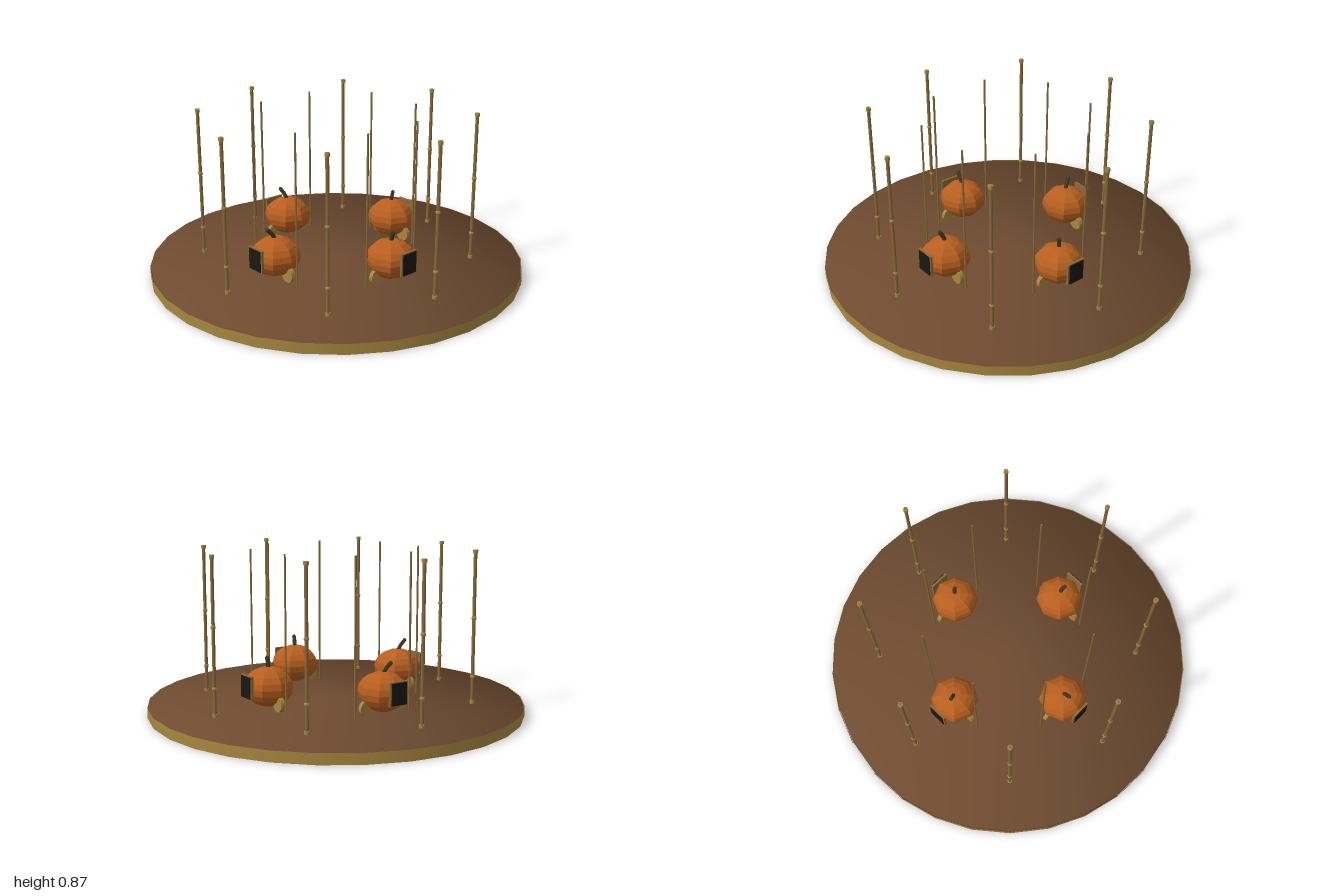
import * as THREE from 'three';

const paint = (color, extra = {}) => new THREE.MeshStandardMaterial({ color, ...extra });
const brass = paint(0xa8873f);
const bronze = paint(0x8a6a3a);
const wood = paint(0x6e4b30);
const orange = paint(0xb85f20, { flatShading: true });
const black = paint(0x1a1614);
const stalk = paint(0x3f3a22);

const DECK = 0.055; // deck surface height
const TOP = 0.865; // top of every pole

function add(parent, name, geometry, material, x = 0, y = 0, z = 0) {
  const mesh = new THREE.Mesh(geometry, material);
  mesh.name = name;
  mesh.position.set(x, y, z);
  parent.add(mesh);
  return mesh;
}

// Round deck whose shading rolls softly over the edge
function deckGeometry() {
  const g = new THREE.CylinderGeometry(0.995, 0.995, DECK, 30);
  const p = g.attributes.position;
  const n = g.attributes.normal;
  const v = new THREE.Vector3();
  for (let i = 0; i < p.count; i++) {
    v.set(p.getX(i), Math.sign(p.getY(i)), p.getZ(i)).normalize();
    n.setXYZ(i, v.x, v.y, v.z);
  }
  return g.rotateY(Math.PI / 2);
}

// Squashed sphere with eight ribs
function pumpkinGeometry() {
  const g = new THREE.SphereGeometry(1, 16, 10);
  const p = g.attributes.position;
  for (let i = 0; i < p.count; i++) {
    const a = Math.atan2(p.getZ(i), p.getX(i));
    const rib = 0.96 + 0.04 * Math.cos(8 * a);
    p.setXYZ(i, p.getX(i) * rib * 0.13, p.getY(i) * 0.103, p.getZ(i) * rib * 0.13);
  }
  g.computeVertexNormals();
  return g;
}

// Tall pole with base, two collars and a cap
function outerPole() {
  const pole = new THREE.Group();
  pole.name = 'outerPole';
  const h = TOP - DECK;
  add(pole, 'shaft', new THREE.CylinderGeometry(0.009, 0.009, h, 8), bronze, 0, DECK + h / 2, 0);
  const collar = new THREE.CylinderGeometry(0.013, 0.013, 0.018, 8);
  add(pole, 'base', collar, brass, 0, DECK + 0.009, 0);
  for (const y of [0.2, 0.51]) add(pole, 'collar', new THREE.SphereGeometry(0.0135, 8, 6), brass, 0, y, 0);
  add(pole, 'cap', collar, brass, 0, TOP - 0.009, 0);
  return pole;
}

// Pumpkin car: local +z points away from the centre of the deck
function pumpkinCar(body) {
  const car = new THREE.Group();
  car.name = 'pumpkinCar';
  add(car, 'pumpkin', body, orange, 0, 0.173, 0).rotation.y = Math.PI / 4;
  add(car, 'windowFrame', new THREE.BoxGeometry(0.108, 0.122, 0.012), bronze, 0, 0.185, 0.126);
  add(car, 'window', new THREE.BoxGeometry(0.09, 0.112, 0.016), black, 0, 0.185, 0.129);
  const h = TOP - DECK;
  for (const side of [-1, 1]) {
    const wheel = new THREE.CylinderGeometry(0.042, 0.042, 0.022, 14).rotateX(Math.PI / 2);
    add(car, 'wheel', wheel, brass, side * 0.1, DECK + 0.044, 0);
    add(car, 'thinPole', new THREE.CylinderGeometry(0.0055, 0.0055, h, 6), bronze, side * 0.17, DECK + h / 2, 0);
  }
  return car;
}

// Bent stalk from the top of a pumpkin, leaning by dx, dz
function stem(x, z, dx, dz) {
  const path = new THREE.CatmullRomCurve3([
    new THREE.Vector3(x, 0.262, z),
    new THREE.Vector3(x + dx * 0.45, 0.295, z + dz * 0.45),
    new THREE.Vector3(x + dx, 0.322, z + dz),
  ]);
  const group = new THREE.Group();
  group.name = 'stem';
  add(group, 'stalk', new THREE.TubeGeometry(path, 5, 0.011, 6), stalk);
  const tip = path.getPoint(1);
  add(group, 'stalkTip', new THREE.SphereGeometry(0.011, 6, 4), stalk, tip.x, tip.y, tip.z);
  return group;
}

export function createModel() {
  const model = new THREE.Group();
  model.name = 'pumpkinCarousel';

  // Deck and its brass rim
  add(model, 'deck', deckGeometry(), wood, 0, DECK / 2 + 0.001, 0);
  const rim = new THREE.CylinderGeometry(1, 1, DECK, 30, 1, true).rotateY(Math.PI / 2);
  add(model, 'rim', rim, paint(0xa8873f, { side: THREE.DoubleSide }), 0, DECK / 2, 0);

  // Ring of eight outer poles
  for (let i = 0; i < 8; i++) {
    const a = (i * Math.PI) / 4;
    const pole = outerPole();
    pole.position.set(Math.sin(a) * 0.727, 0, Math.cos(a) * 0.727);
    model.add(pole);
  }

  // Four pumpkin cars on the diagonals, each with its own stalk lean: x, z, dx, dz
  const body = pumpkinGeometry();
  const cars = [
    [1, 1, 0.01, 0.025],
    [1, -1, 0.008, 0.003],
    [-1, -1, -0.04, -0.012],
    [-1, 1, -0.036, 0.027],
  ];
  for (const [sx, sz, dx, dz] of cars) {
    const x = sx * 0.295;
    const z = sz * 0.295;
    const car = pumpkinCar(body);
    car.position.set(x, 0, z);
    car.rotation.y = Math.atan2(sx, sz);
    model.add(car, stem(x, z, dx, dz));
  }
  return model;
}
